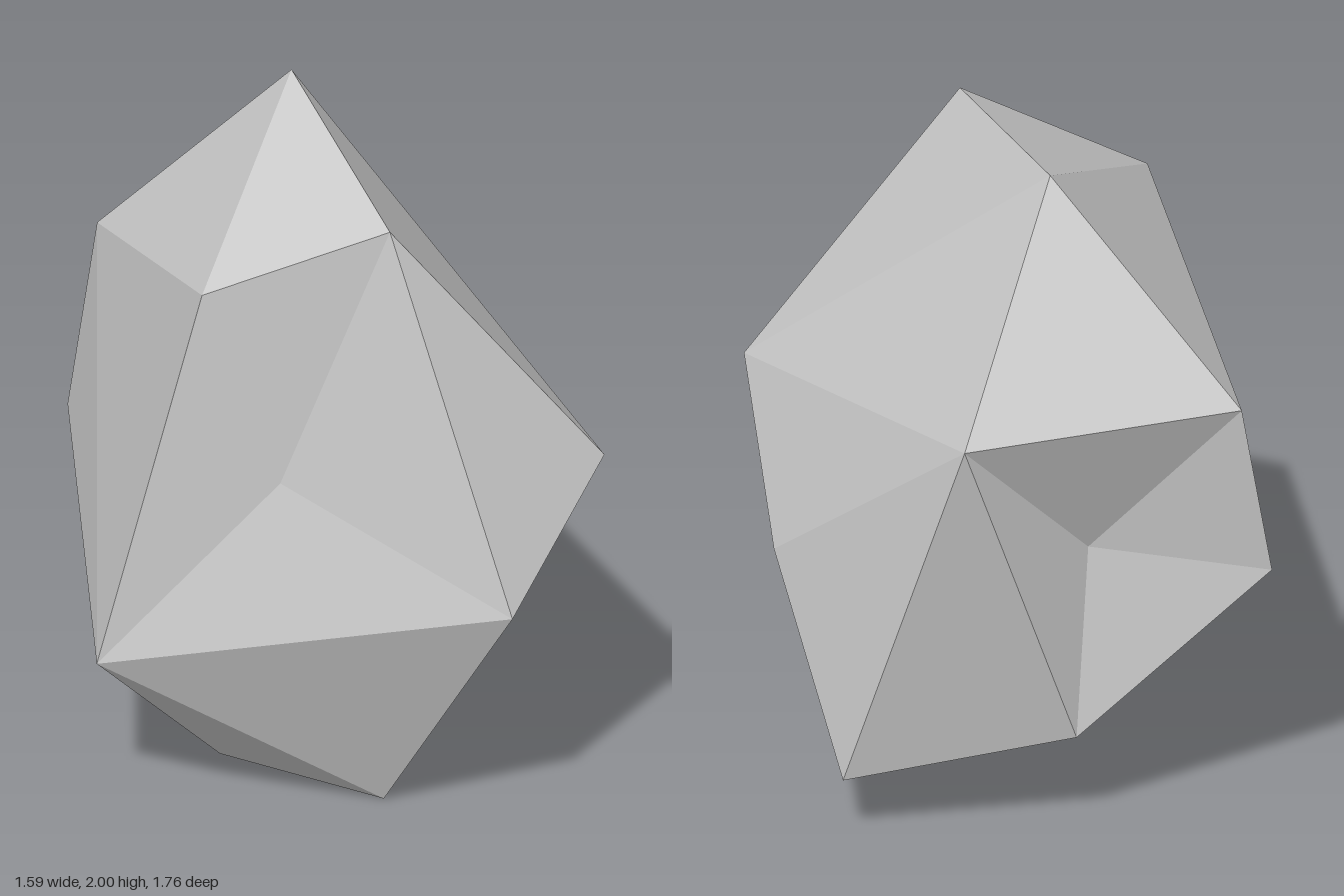
import * as THREE from 'three';

// Corners of the boulder, from the peak down to the base
const corners = {
  A: [0.12, 2, -0.32], B: [-0.17, 1.87, 0.49], C: [-0.57, 1.65, 0.12],
  D: [0.63, 1.36, -0.58], M: [-0.15, 1.38, -0.88], E: [0.41, 1.08, 0.76],
  N: [-0.26, 0.83, -0.88], F: [-0.03, 0.73, 0.88], J: [0.66, 0.71, 0.29],
  G: [-0.8, 0.46, -0.08], P: [0.23, 0.32, -0.59], I: [0.79, 0.2, -0.21],
  K: [-0.43, 0.1, 0.03], H: [-0.12, 0, 0.4],
  // Bottoms of the three shallow dents
  L: [-0.4, 1.05, 0.27], Q: [0.18, 0.92, -0.58], R: [-0.14, 0.59, -0.5],
};

// Each fan starts at a hub corner and sweeps along the corners that follow
const fans = [
  'AMCBEDM',  // crown around the peak
  'MCGN',     // back right flank
  'BFE',      // front bevel
  'HFEJI',    // front skirt
  'DEJIP',    // left flank
  'HFGKI',    // lower right and underside
  'IPK',      // rear underside
  'LBCGFB',   // front dent
  'QDPNMD',   // back dent
  'RNGKPN',   // lower back dent
];

function buildRock() {
  const centre = new THREE.Vector3(0, 0.95, 0);
  const positions = [];
  for (const fan of fans) {
    const [hub, ...rim] = [...fan].map((k) => new THREE.Vector3(...corners[k]));
    for (let i = 0; i + 1 < rim.length; i++) {
      let [p, q] = [rim[i], rim[i + 1]];
      // Turn every facet away from the centre
      const normal = p.clone().sub(hub).cross(q.clone().sub(hub));
      if (normal.dot(hub.clone().sub(centre)) < 0) [p, q] = [q, p];
      for (const v of [hub, p, q]) positions.push(v.x, v.y, v.z);
    }
  }
  const geometry = new THREE.BufferGeometry();
  geometry.setAttribute('position', new THREE.Float32BufferAttribute(positions, 3));
  geometry.computeVertexNormals();
  return geometry;
}

export function createModel() {
  const group = new THREE.Group();
  group.name = 'boulder';
  const rock = new THREE.Mesh(
    buildRock(),
    new THREE.MeshStandardMaterial({ color: 0xcccccc, flatShading: true }),
  );
  rock.name = 'rock';
  group.add(rock);
  return group;
}
